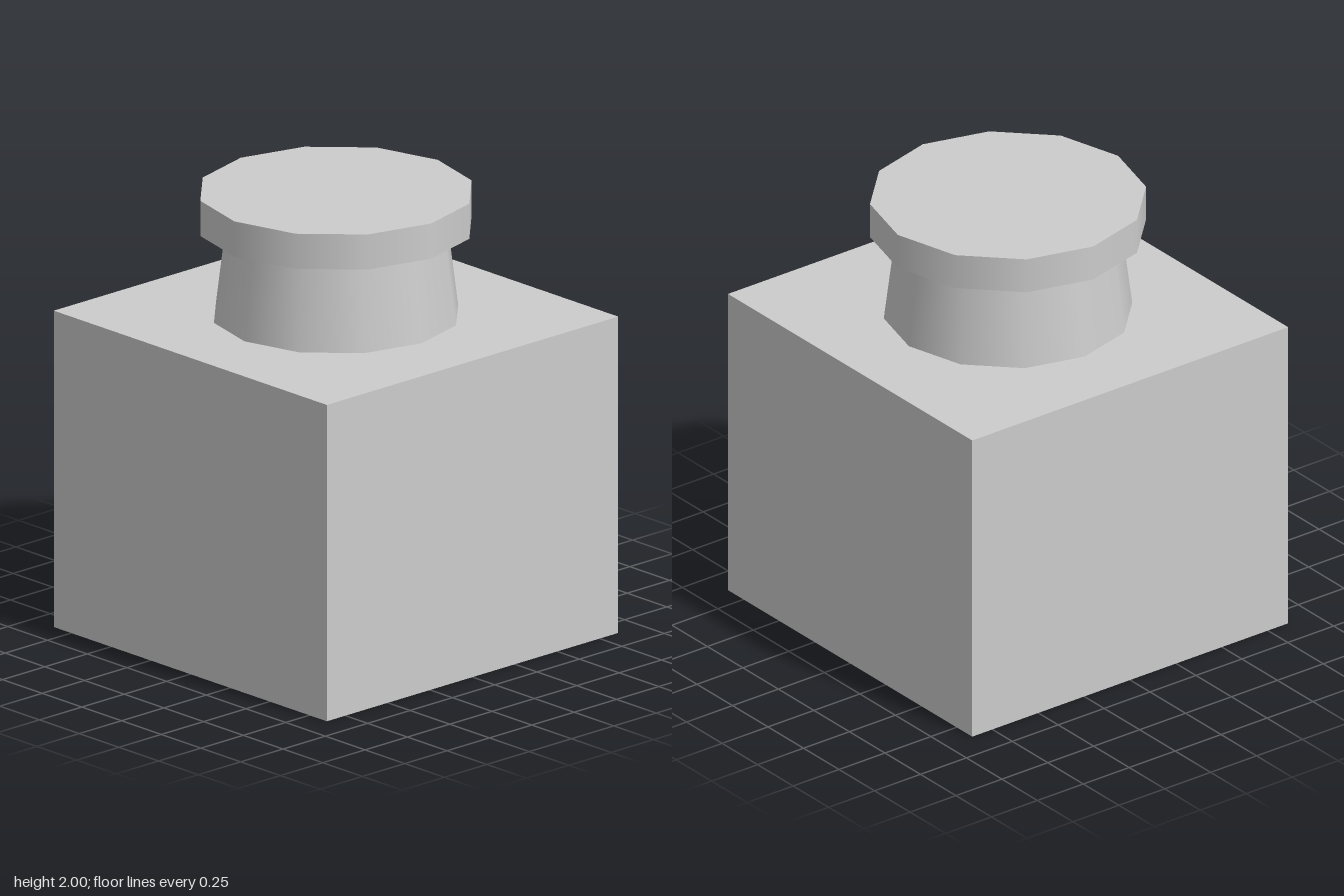
import * as THREE from 'three';

export function createModel() {
  const model = new THREE.Group();
  const grey = new THREE.MeshStandardMaterial({ color: 0xcccccc });
  grey.name = 'light grey';

  // Adds a named part whose underside sits at the given height
  const add = (name, geometry, bottom, height) => {
    const mesh = new THREE.Mesh(geometry, grey);
    mesh.name = name;
    mesh.position.y = bottom + height / 2;
    model.add(mesh);
  };

  // Square body, tapered neck and wide lid, the round parts twelve-sided
  add('body', new THREE.BoxGeometry(1.72, 1.44, 1.72), 0, 1.44);
  add('neck', new THREE.CylinderGeometry(0.49, 0.54, 0.4, 12), 1.44, 0.4);
  add('lid', new THREE.CylinderGeometry(0.6, 0.6, 0.16, 12), 1.84, 0.16);

  return model;
}
